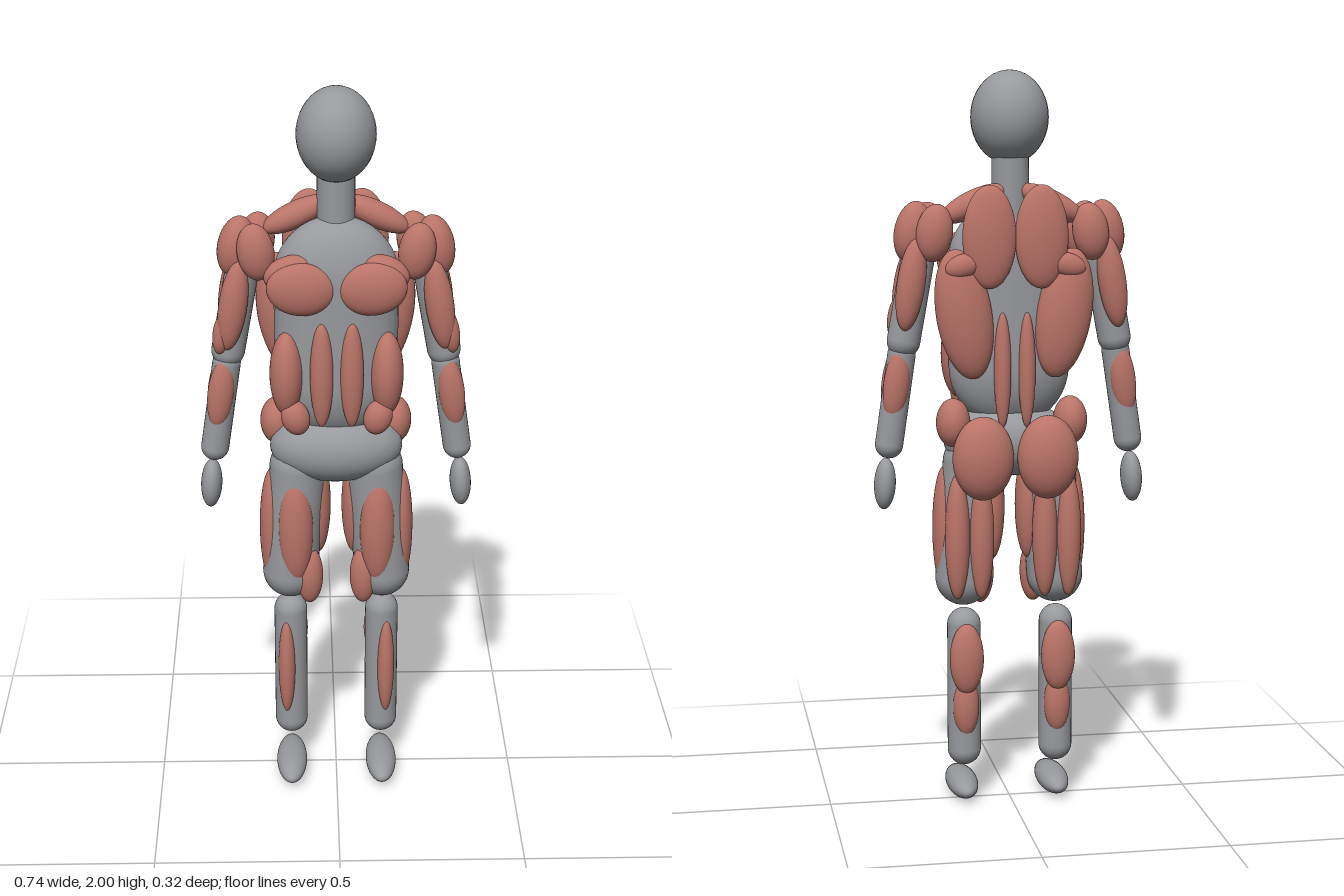
import * as THREE from 'three';

const grey = new THREE.MeshStandardMaterial({ color: 0x97999d });
grey.name = 'body grey';
const red = new THREE.MeshStandardMaterial({ color: 0xba7468 });
red.name = 'muscle red';
const sphere = new THREE.SphereGeometry(1, 32, 22);

// Ellipsoid from centre, radii and tilt about z
function ellipsoid(name, material, x, y, z, rx, ry, rz, tilt = 0) {
  const mesh = new THREE.Mesh(sphere, material);
  mesh.name = name;
  mesh.position.set(x, y, z);
  mesh.scale.set(rx, ry, rz);
  mesh.rotation.z = tilt;
  return mesh;
}

// Upright capsule between two end centres at the same depth
function capsule(name, x0, y0, x1, y1, z, r) {
  const dx = x1 - x0, dy = y0 - y1;
  const mesh = new THREE.Mesh(new THREE.CapsuleGeometry(r, Math.hypot(dx, dy), 10, 28), grey);
  mesh.name = name;
  mesh.position.set((x0 + x1) / 2, (y0 + y1) / 2, z);
  mesh.rotation.z = Math.atan2(dx, dy);
  return mesh;
}

// Head, neck, trunk and pelvis
function addCore(model) {
  const neck = new THREE.Mesh(new THREE.CylinderGeometry(0.05, 0.05, 0.2, 28), grey);
  neck.name = 'neck';
  neck.position.set(0, 1.7, -0.017);
  const trunk = capsule('trunk', 0, 1.495, 0, 1.21, 0, 0.165);
  trunk.scale.z = 0.57;
  model.add(
    neck, trunk,
    ellipsoid('head', grey, 0, 1.876, -0.007, 0.104, 0.124, 0.115),
    ellipsoid('pelvis', grey, 0, 1.01, 0, 0.18, 0.1, 0.106),
  );
}

// One half of the body; s is 1 for the left side and -1 for the right
function createSide(s) {
  const side = new THREE.Group();
  side.name = s > 0 ? 'leftSide' : 'rightSide';
  const part = (name, material, x, y, z, rx, ry, rz, tilt = 0) =>
    side.add(ellipsoid(name, material, s * x, y, z, rx, ry, rz, s * tilt));
  const muscle = (name, ...shape) => part(name, red, ...shape);
  const bone = (name, x0, y0, x1, y1, z, r) =>
    side.add(capsule(name, s * x0, y0, s * x1, y1, z, r));

  // Back
  muscle('upperTrapezius', 0.105, 1.65, -0.045, 0.098, 0.035, 0.037, -0.45);
  muscle('trapezius', 0.07, 1.565, -0.103, 0.072, 0.137, 0.032);
  muscle('teres', 0.14, 1.49, -0.105, 0.05, 0.032, 0.024, -0.3);
  muscle('latissimus', 0.135, 1.36, -0.083, 0.075, 0.175, 0.048, -0.16);
  muscle('spinalErector', 0.033, 1.21, -0.09, 0.023, 0.155, 0.025);

  // Chest and belly
  muscle('chest', 0.094, 1.487, 0.082, 0.09, 0.072, 0.035, 0.08);
  muscle('upperChest', 0.125, 1.525, 0.06, 0.068, 0.045, 0.035, -0.35);
  muscle('innerAbdominal', 0.04, 1.248, 0.088, 0.031, 0.147, 0.027);
  muscle('oblique', 0.133, 1.24, 0.055, 0.045, 0.117, 0.058);
  muscle('lowerAbdominal', 0.11, 1.125, 0.08, 0.038, 0.05, 0.032, -0.3);

  // Shoulder: rear, side and front heads, the side one furthest out
  ['rearDeltoid', 'sideDeltoid', 'frontDeltoid'].forEach((name, i) => {
    const k = i - 1, out = 1 - k * k;
    muscle(name, 0.21 + 0.052 * out, 1.575, -0.012 + 0.05 * k,
      0.049, 0.077 + 0.006 * out, 0.039 + 0.01 * out, out ? 0.2 : -0.13 * k);
  });

  // Arm and hand, with a muscle on the front and back of each bone
  bone('upperArm', 0.24, 1.55, 0.288, 1.285, -0.01, 0.045);
  bone('forearm', 0.293, 1.25, 0.329, 1.005, -0.006, 0.038);
  part('hand', grey, 0.341, 0.897, -0.003, 0.029, 0.07, 0.044, 0.06);
  for (const k of [1, -1]) {
    muscle(k > 0 ? 'biceps' : 'triceps',
      0.272, 1.432 - 0.008 * k, -0.012 + 0.042 * k, 0.038, 0.125, 0.034, 0.15);
    muscle(k > 0 ? 'forearmFlexor' : 'forearmExtensor',
      0.31, 1.17, -0.004 + 0.022 * k, 0.035, 0.1, 0.027, 0.13);
  }
  muscle('brachialis', 0.302, 1.345, 0.022, 0.025, 0.06, 0.027, 0.15);

  // Hip
  muscle('gluteus', 0.088, 0.975, -0.105, 0.083, 0.113, 0.057);
  muscle('hipMuscle', 0.16, 1.065, -0.045, 0.046, 0.066, 0.055);

  // Thigh
  bone('thigh', 0.105, 0.95, 0.127, 0.63, 0, 0.077);
  muscle('outerThigh', 0.178, 0.765, 0.005, 0.033, 0.175, 0.046);
  muscle('frontThigh', 0.112, 0.78, 0.053, 0.048, 0.165, 0.041);
  muscle('kneeMuscle', 0.074, 0.632, 0.04, 0.037, 0.085, 0.036);
  muscle('innerThigh', 0.05, 0.83, -0.01, 0.035, 0.15, 0.045);
  for (const k of [1, -1]) {
    muscle(k > 0 ? 'outerHamstring' : 'innerHamstring',
      0.12 + 0.033 * k, 0.755, -0.067, 0.034, 0.172, 0.036);
  }

  // Lower leg and foot
  bone('shin', 0.128, 0.5, 0.128, 0.147, -0.012, 0.046);
  muscle('shinMuscle', 0.14, 0.332, 0.026, 0.024, 0.147, 0.029);
  muscle('upperCalf', 0.127, 0.412, -0.058, 0.047, 0.098, 0.033);
  muscle('lowerCalf', 0.127, 0.275, -0.043, 0.036, 0.085, 0.031);
  part('foot', grey, 0.128, 0.034, 0.04, 0.043, 0.034, 0.12);
  return side;
}

export function createModel() {
  const model = new THREE.Group();
  model.name = 'muscleFigure';
  addCore(model);
  model.add(createSide(1), createSide(-1));
  return model;
}
